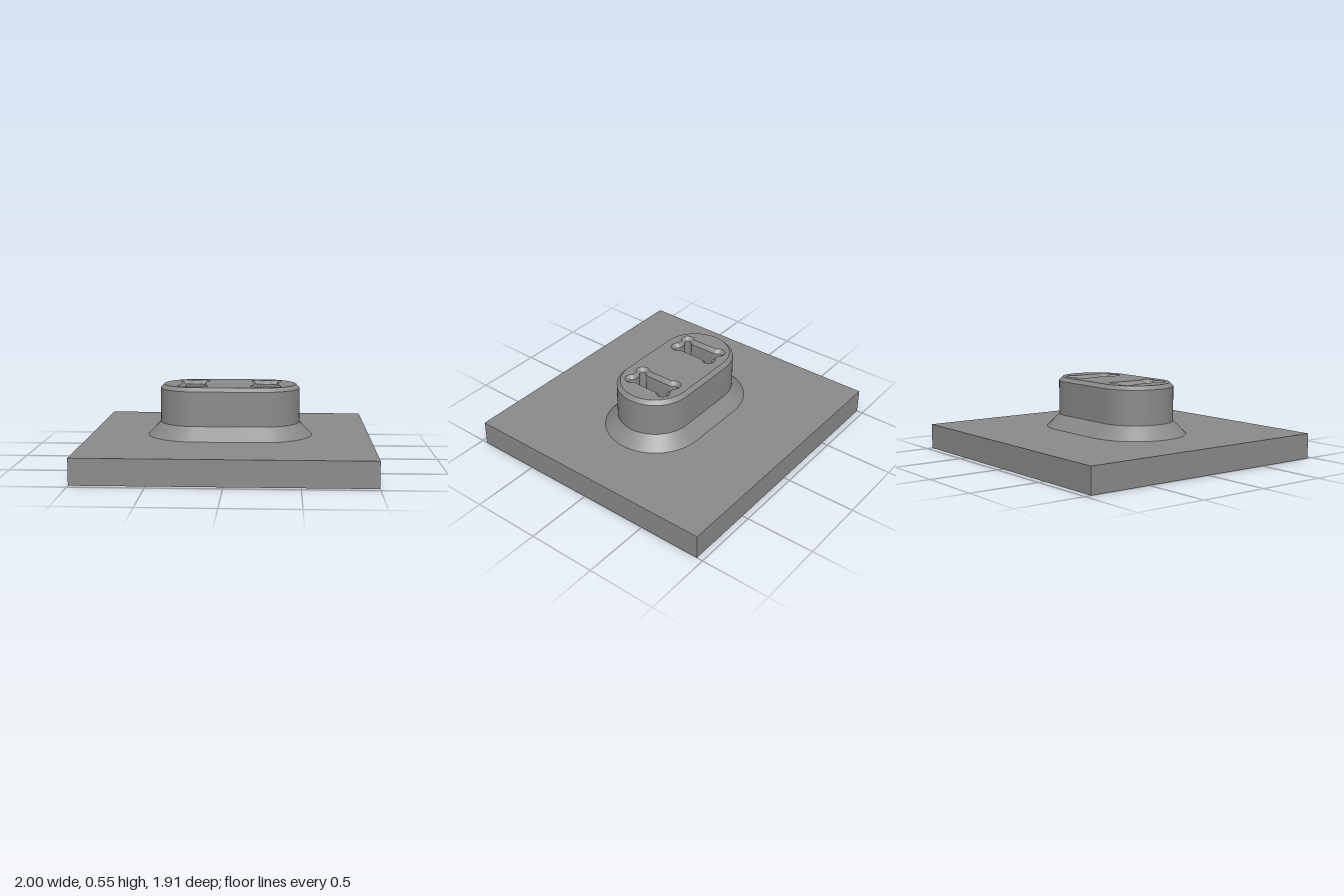
import * as THREE from 'three';
import { toCreasedNormals } from 'three/addons/utils/BufferGeometryUtils.js';

const material = new THREE.MeshStandardMaterial({ color: 0x8a8a8a });
const PLATE_TOP = 0.18, TOP = 0.545, CHAMFER = 0.026;
const SLOTS = [{ name: 'rightSlot', x: -0.26 }, { name: 'leftSlot', x: 0.26 }];

const rectangle = (w, d) => [[-w, -d], [w, -d], [w, d], [-w, d]].map(([x, y]) => new THREE.Vector2(x, y));

// Two half circles joined by straight sides, counter-clockwise
function stadium(radius, half = 0.23, n = 32) {
  const points = [];
  for (const [cx, start] of [[half, -Math.PI / 2], [-half, Math.PI / 2]])
    for (let i = 0; i <= n; i++) {
      const a = start + Math.PI * i / n;
      points.push(new THREE.Vector2(cx + radius * Math.cos(a), radius * Math.sin(a)));
    }
  return points;
}

// Rectangle with a round lobe at each corner, blended into the sides by fillets, grown outward by offset
function slotOutline(cx, offset = 0) {
  const w = 0.06, d = 0.14, lobe = 0.023, fillet = 0.04;
  const reach = Math.sqrt((lobe + fillet) ** 2 - fillet ** 2);
  const lean = Math.atan2(reach, fillet);
  // Arcs of one corner: centre from the corner, radius, start and end angle, steps
  const arcs = [
    [fillet, -reach, fillet - offset, Math.PI, Math.PI - lean, 6],
    [0, 0, lobe + offset, -lean, Math.PI / 2 + lean, 18],
    [-reach, fillet, fillet - offset, lean - Math.PI / 2, -Math.PI / 2, 6],
  ];
  const points = [], origin = new THREE.Vector2();
  [[w, d], [-w, d], [-w, -d], [w, -d]].forEach(([x, y], corner) => {
    arcs.forEach(([ax, ay, r, from, to, n], k) => {
      // The lobe skips its end points, which the fillets already hold
      for (let i = k === 1 ? 1 : 0; i <= (k === 1 ? n - 1 : n); i++) {
        const a = from + (to - from) * i / n;
        const p = new THREE.Vector2(ax + r * Math.cos(a), ay + r * Math.sin(a));
        p.rotateAround(origin, corner * Math.PI / 2);
        points.push(p.add(new THREE.Vector2(cx + x, y)));
      }
    });
  });
  return points;
}

// Wall through a stack of matching outlines; inward faces the inside
function wall(levels, inward = false) {
  const positions = [];
  for (let k = 0; k + 1 < levels.length; k++) {
    const [low, y0] = levels[k], [high, y1] = levels[k + 1];
    low.forEach((p, i) => {
      const j = (i + 1) % low.length;
      const a = [p.x, y0, -p.y], b = [low[j].x, y0, -low[j].y];
      const c = [high[j].x, y1, -high[j].y], d = [high[i].x, y1, -high[i].y];
      positions.push(...(inward ? [a, c, b, a, d, c] : [a, b, c, a, c, d]).flat());
    });
  }
  const geometry = new THREE.BufferGeometry();
  geometry.setAttribute('position', new THREE.Float32BufferAttribute(positions, 3));
  return toCreasedNormals(geometry, 0.45);
}

// Flat horizontal face with holes
function face(outline, holes, y, up = true) {
  const shape = new THREE.Shape(outline);
  shape.holes = holes.map((points) => new THREE.Path(points));
  return new THREE.ShapeGeometry(shape).rotateX(up ? -Math.PI / 2 : Math.PI / 2).translate(0, y, 0);
}

export function createModel() {
  const model = new THREE.Group();
  const part = (name, ...geometries) => {
    const group = new THREE.Group();
    group.name = name;
    geometries.forEach((g) => group.add(new THREE.Mesh(g, material)));
    model.add(group);
  };

  // Base plate, open under the post
  const plate = rectangle(1, 0.955);
  part('basePlate',
    wall([[plate, 0], [plate, PLATE_TOP]]),
    face(plate, [stadium(0.362)], PLATE_TOP),
    face(plate, SLOTS.map((s) => slotOutline(s.x)), 0, false));

  // Sloping skirt at the foot of the post
  part('skirt', wall([[stadium(0.362), PLATE_TOP], [stadium(0.271), 0.273]]));

  // Post with a chamfered rim and slotted top
  part('post',
    wall([[stadium(0.271), 0.273], [stadium(0.271), 0.518], [stadium(0.245), TOP]]),
    face(stadium(0.245), SLOTS.map((s) => slotOutline(s.x, CHAMFER)), TOP));

  // Through slots with countersunk mouths
  for (const { name, x } of SLOTS)
    part(name, wall([[slotOutline(x), 0], [slotOutline(x), TOP - CHAMFER], [slotOutline(x, CHAMFER), TOP]], true));

  return model;
}
